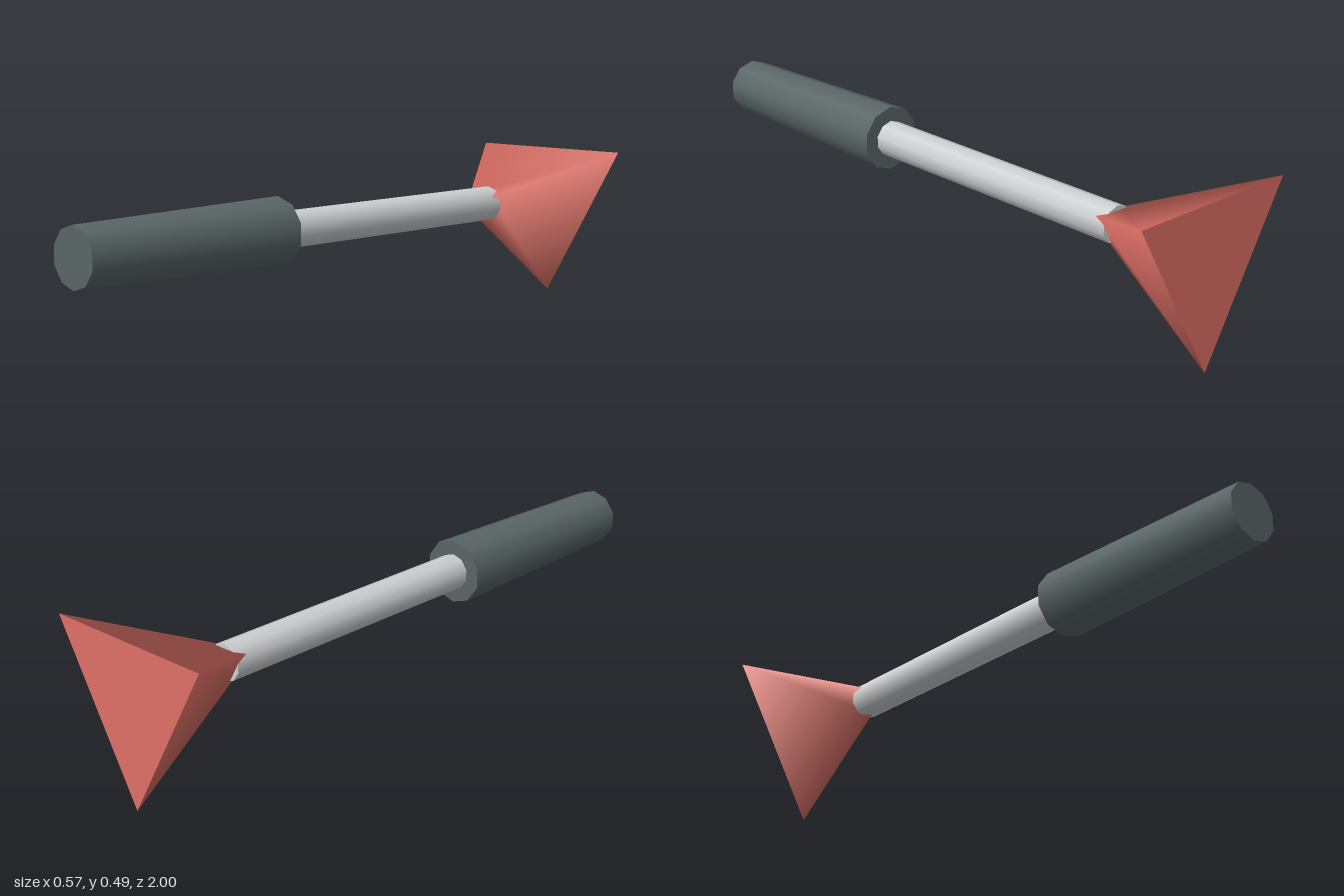
import * as THREE from 'three';

const AXIS_Y = 0.327;

const red = new THREE.MeshStandardMaterial({ color: 0xdf7066 });
red.name = 'red';
const slate = new THREE.MeshStandardMaterial({ color: 0x5a6667 });
slate.name = 'slate grey';
const steel = new THREE.MeshStandardMaterial({ color: 0xcdd0d1 });
steel.name = 'light steel';

// Tapered prism lying along z, from zBack to zFront
function rod(name, rFront, rBack, zFront, zBack, sides, material) {
  const geometry = new THREE.CylinderGeometry(rFront, rBack, zFront - zBack, sides);
  geometry.rotateX(Math.PI / 2);
  const mesh = new THREE.Mesh(geometry, material);
  mesh.name = name;
  mesh.position.set(0, AXIS_Y, (zFront + zBack) / 2);
  return mesh;
}

export function createModel() {
  const model = new THREE.Group();
  model.name = 'triangularHeadTool';
  model.add(
    // Grip, slightly narrower at its free end
    rod('handle', 0.087, 0.102, 1, 0.275, 10, slate),
    // Straight shaft, sunk a little into grip and head
    rod('shaft', 0.056, 0.056, 0.29, -0.672, 10, steel),
    // Three-sided flared head, point downwards
    rod('head', 0.054, 0.327, -0.635, -1, 3, red),
  );
  return model;
}
